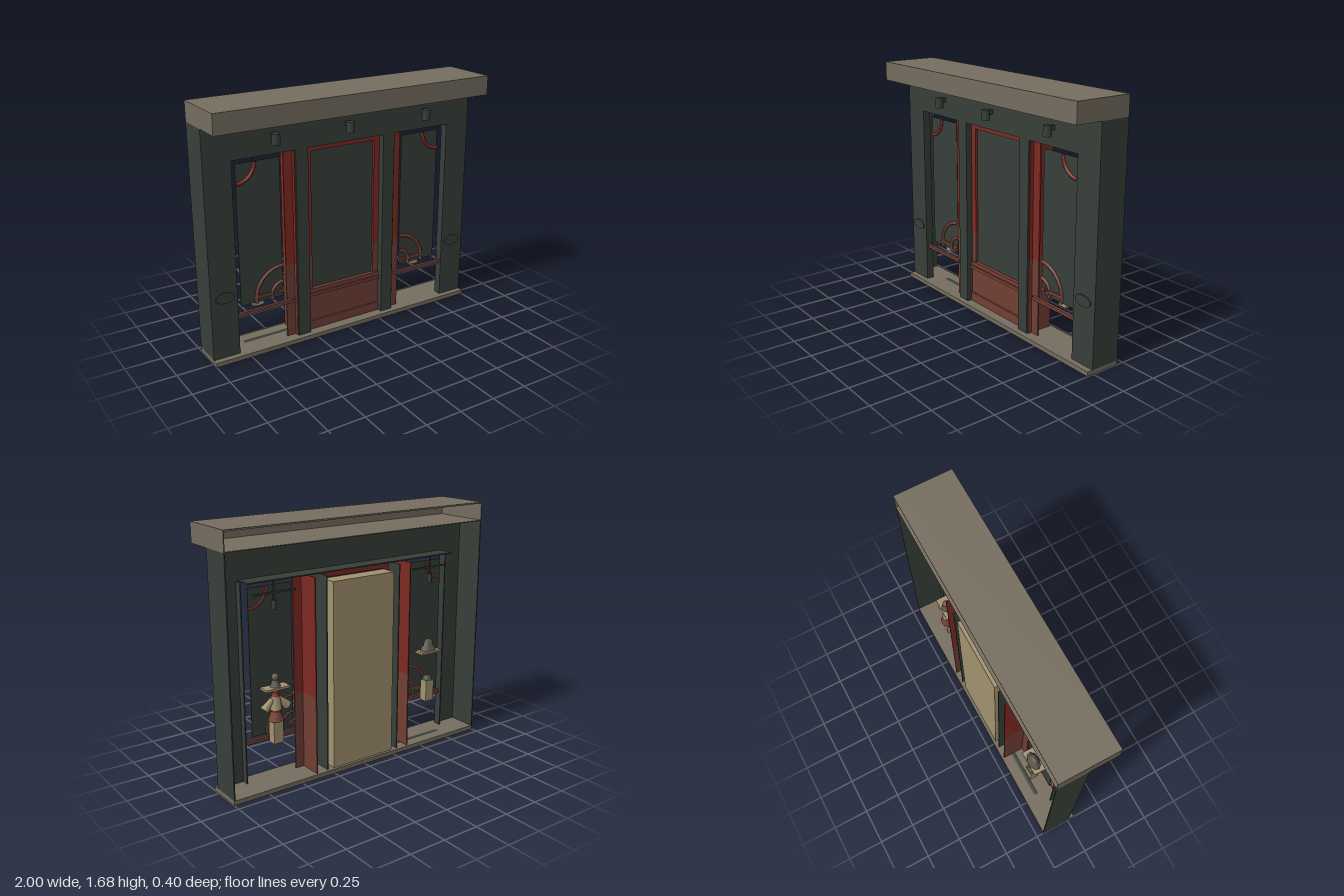
import * as THREE from 'three';

const mat = (name, color, side = THREE.FrontSide) => {
  const m = new THREE.MeshStandardMaterial({ color, side });
  m.name = name;
  return m;
};

export function createModel() {
  const model = new THREE.Group();
  model.name = 'shopFront';

  const stone = mat('oliveStone', 0x756d5f);
  const green = mat('darkGreen', 0x373f39);
  const red = mat('deepRed', 0x7e2a22);
  const brown = mat('redBrown', 0x703e34);
  const tan = mat('tan', 0xa39270);
  const grey = mat('greyOlive', 0x5d5a4c);

  const add = (name, geo, m, x = 0, y = 0, z = 0, parent = model) => {
    const mesh = new THREE.Mesh(geo, m);
    mesh.name = name;
    mesh.position.set(x, y, z);
    parent.add(mesh);
    return mesh;
  };
  // Box given by its limits on each axis
  const box = (name, m, x0, x1, y0, y1, z0, z1, parent = model) =>
    add(name, new THREE.BoxGeometry(Math.abs(x1 - x0), y1 - y0, z1 - z0), m,
      (x0 + x1) / 2, (y0 + y1) / 2, (z0 + z1) / 2, parent);
  // Painted board: red above, weathered red-brown below
  const painted = (name, x0, x1, y0, y1, z0, z1) => {
    box(name + 'Lower', brown, x0, x1, y0, 0.55, z0, z1);
    box(name + 'Upper', red, x0, x1, 0.55, y1, z0, z1);
  };

  // Roof canopy, hollow and open at the back
  box('roofTop', stone, -1, 1, 1.67, 1.68, -0.2, 0.2);
  box('roofBottom', stone, -1, 1, 1.55, 1.556, -0.2, 0.2);
  box('roofFront', stone, -1, 1, 1.556, 1.67, 0.19, 0.2);
  for (const s of [-1, 1]) box('roofEnd', stone, s * 0.994, s, 1.556, 1.67, -0.2, 0.19);

  // Base slab with a dark rounded patch
  box('base', stone, -1, 1, 0, 0.03, -0.2, 0.05);
  const patch = new THREE.CapsuleGeometry(0.035, 0.42, 6, 16);
  patch.rotateZ(Math.PI / 2).scale(1, 0.47, 1);
  add('floorPatch', patch, green, -0.51, 0.0155, -0.11).scale.y = 1;

  // Lintel and its soffit
  box('lintel', green, -1, 1, 1.33, 1.55, 0, 0.01);
  box('soffit', green, -0.81, 0.81, 1.33, 1.338, -0.115, 0);

  // Lamps on the lintel
  for (const x of [-0.535, 0, 0.6]) {
    add('lamp', new THREE.CylinderGeometry(0.027, 0.027, 0.07, 20), green, x, 1.435, 0.057);
    box('lampMount', green, x - 0.012, x + 0.012, 1.435, 1.465, 0.01, 0.04);
  }

  for (const s of [-1, 1]) {
    // Corner pillar: front, outer side and short inner return
    box('pillarFront', green, s * 0.815, s, 0.03, 1.33, 0, 0.01);
    box('pillarSide', green, s * 0.992, s, 0.03, 1.55, -0.2, 0);
    box('pillarReturn', green, s * 0.815, s * 0.823, 0.03, 1.33, -0.045, 0);

    // Oval plaque
    const oval = new THREE.CylinderGeometry(0.065, 0.065, 0.012, 32);
    oval.rotateX(Math.PI / 2).scale(1, 0.56, 1);
    add('plaque', oval, green, s * 0.903, 0.45, 0.014);

    // Door pilaster with green inner wall, red outer wall and red side board
    box('pilasterFront', green, s * 0.287, s * 0.376, 0.03, 1.33, 0, 0.01);
    box('pilasterInner', green, s * 0.287, s * 0.295, 0.03, 1.33, -0.18, 0);
    painted('jambWall', s * 0.376, s * 0.384, 0.03, 1.33, -0.185, 0);
    painted('sideBoard', s * 0.384, s * 0.447, 0.03, 1.33, -0.035, -0.025);

    // Display window pane and rail
    box('displayPane', green, s * 0.467, s * 0.772, 0.335, 1.29, -0.043, -0.037);
    box('displayRail', brown, s * 0.41, s * 0.82, 0.28, 0.303, -0.025, -0.003);

    // Curved ornaments of the pane
    const arc = (name, m, cx, cy, r, a0, a1) => {
      const pts = [];
      for (let i = 0; i <= 12; i++) {
        const a = a0 + (a1 - a0) * i / 12;
        pts.push(new THREE.Vector3(s * (cx + r * Math.cos(a)), cy + r * Math.sin(a), 0));
      }
      add(name, new THREE.TubeGeometry(new THREE.CatmullRomCurve3(pts), 24, 0.012, 8), m, 0, 0, -0.035);
    };
    arc('upperArc', red, 0.772, 1.29, 0.13, Math.PI, Math.PI * 1.5);
    arc('outerArc', brown, 0.467, 0.36, 0.195, Math.PI / 2, -0.15);
    arc('innerArc', brown, 0.467, 0.36, 0.082, Math.PI / 2, -0.4);
    box('ornamentBar', brown, s * 0.545, s * 0.655, 0.363, 0.385, -0.045, -0.025);
    box('ornamentBarInner', brown, s * 0.467, s * 0.51, 0.363, 0.385, -0.045, -0.025);

    // Hanging rod and spotlight behind the pane
    box('lightRod', green, s * 0.47, s * 0.77, 1.25, 1.262, -0.106, -0.094);
    box('lightStem', green, s * 0.625 - 0.004, s * 0.625 + 0.004, 1.2, 1.33, -0.104, -0.096);
    add('spotlight', new THREE.CylinderGeometry(0.017, 0.017, 0.06, 14), green, s * 0.625, 1.18, -0.1);

    // Pedestal and floating shelf
    box('pedestal', tan, s * 0.63 - 0.035, s * 0.63 + 0.035, 0.29, 0.44, -0.13, -0.07);
    box('shelf', tan, s * 0.63 - 0.085, s * 0.63 + 0.085, 0.645, 0.66, -0.14, -0.06);
  }

  // Robe on the left pedestal
  const robe = new THREE.Group();
  robe.name = 'robe';
  robe.position.set(0.63, 0.44, -0.1);
  model.add(robe);
  add('robeSkirt', new THREE.CylinderGeometry(0.03, 0.055, 0.06, 10), brown, 0, 0.03, 0, robe);
  add('robeBelt', new THREE.CylinderGeometry(0.033, 0.033, 0.018, 10), red, 0, 0.066, 0, robe);
  add('robeBody', new THREE.CylinderGeometry(0.028, 0.04, 0.085, 10), tan, 0, 0.115, 0, robe);
  add('robeCollar', new THREE.CylinderGeometry(0.018, 0.028, 0.025, 10), red, 0, 0.17, 0, robe);
  for (const s of [-1, 1]) {
    const sleeve = add('robeSleeve', new THREE.CylinderGeometry(0.015, 0.03, 0.085, 8), tan, s * 0.055, 0.11, 0, robe);
    sleeve.rotation.z = s * 0.75;
  }

  // Bust on the left shelf
  add('bustBody', new THREE.CylinderGeometry(0.018, 0.035, 0.045, 10), grey, 0.63, 0.682, -0.1);
  add('bustHead', new THREE.SphereGeometry(0.024, 12, 8), grey, 0.63, 0.722, -0.1);

  // Helmet on the right pedestal
  add('helmet', new THREE.SphereGeometry(0.036, 14, 7, 0, Math.PI * 2, 0, Math.PI / 2),
    mat('helmetGreen', 0x454a41, THREE.DoubleSide), -0.63, 0.44, -0.1);

  // Heap on the right shelf
  const heap = [[0.065, 0], [0.06, 0.02], [0.042, 0.035], [0.035, 0.065], [0.018, 0.08], [0, 0.083]];
  const heapMesh = add('heap', new THREE.LatheGeometry(heap.map(p => new THREE.Vector2(...p)), 9), grey, -0.63, 0.66, -0.1);
  heapMesh.scale.z = 0.6;

  // Central window: frame, pane, panelled apron and mouldings
  for (const s of [-1, 1]) box('windowStileUpper', red, s * 0.243, s * 0.287, 0.55, 1.33, -0.07, -0.035);
  for (const s of [-1, 1]) box('windowStileLower', brown, s * 0.243, s * 0.287, 0.33, 0.55, -0.07, -0.035);
  box('windowHead', red, -0.243, 0.243, 1.29, 1.33, -0.07, -0.035);
  box('windowPane', green, -0.243, 0.243, 0.33, 1.29, -0.06, -0.052);
  box('apron', brown, -0.287, 0.287, 0.03, 0.33, -0.07, -0.035);
  box('apronSill', brown, -0.287, 0.287, 0.28, 0.302, -0.035, -0.015);
  box('apronRail', brown, -0.287, 0.287, 0.302, 0.33, -0.035, -0.025);
  box('apronFoot', brown, -0.287, 0.287, 0.03, 0.092, -0.035, -0.022);

  // Display case behind the central window
  box('backCase', tan, -0.243, 0.243, 0.03, 1.285, -0.18, -0.07);

  return model;
}
